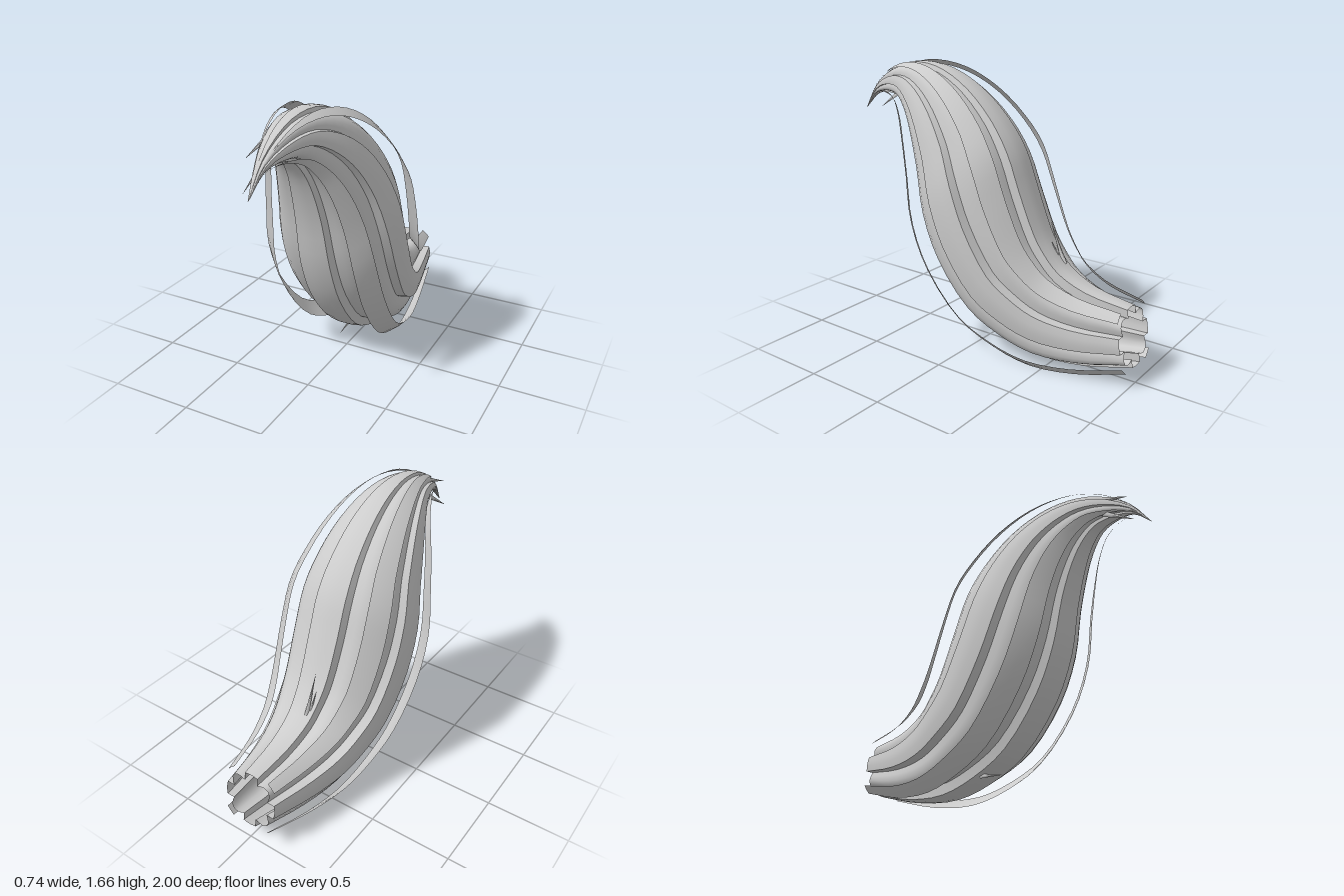
import * as THREE from 'three';
import { mergeVertices, toCreasedNormals } from 'three/addons/utils/BufferGeometryUtils.js';

// Matching [z, y] points along the upper and lower edge, from open root to tip
const UPPER = [[-0.95, 0.44], [-0.7, 0.48], [-0.53, 0.56], [-0.44, 0.66], [-0.38, 0.76], [-0.28, 1.0], [-0.2, 1.2],
  [-0.08, 1.37], [0.1, 1.53], [0.3, 1.63], [0.5, 1.66], [0.7, 1.62], [0.88, 1.5], [1, 1.335]];
const LOWER = [[-1, 0.1], [-0.7, 0.02], [-0.42, 0.0], [-0.18, 0.06], [0.05, 0.18], [0.28, 0.45], [0.4, 0.72],
  [0.46, 1.0], [0.52, 1.2], [0.58, 1.33], [0.66, 1.42], [0.76, 1.445], [0.89, 1.43], [1, 1.33]];
const curve = (pts) => new THREE.CatmullRomCurve3(pts.map(([z, y]) => new THREE.Vector3(0, y, z)));
const upper = curve(UPPER), lower = curve(LOWER);
const rad = THREE.MathUtils.degToRad;

const material = new THREE.MeshStandardMaterial({ color: 0xcccccc, side: THREE.DoubleSide });

// Point on the tail: t runs root to tip, angle turns from the top edge towards +x
function tailPoint(t, angle, scale) {
  const a = upper.getPoint(t), b = lower.getPoint(t);
  const centre = a.clone().add(b).multiplyScalar(0.5);
  const up = a.sub(b).multiplyScalar(0.5);
  const half = up.length();
  // Sides are as wide as the section is tall, slightly flattened where it is thickest
  const side = half / Math.pow(1 + Math.pow(half / 0.45, 6), 1 / 6);
  const p = centre.addScaledVector(up, Math.cos(angle) * scale);
  p.x = Math.sin(angle) * scale * side;
  return p;
}

// Surface swept through rows of points; pointAt(u, j) gives each corner
function sweep(rows, columns, pointAt, crease) {
  const positions = [], index = [];
  for (let i = 0; i <= rows; i++) {
    for (let j = 0; j < columns; j++) positions.push(...pointAt(i / rows, j).toArray());
  }
  for (let i = 0; i < rows; i++) {
    for (let j = 0; j < columns - 1; j++) {
      const a = i * columns + j, b = a + columns;
      index.push(a, b, a + 1, b, b + 1, a + 1);
    }
  }
  const g = new THREE.BufferGeometry();
  g.setAttribute('position', new THREE.Float32BufferAttribute(positions, 3));
  g.setIndex(index);
  return toCreasedNormals(mergeVertices(g, 1e-5), crease);
}

export function createModel() {
  const group = new THREE.Group();
  group.name = 'tail';
  const add = (name, geometry) => {
    const mesh = new THREE.Mesh(geometry, material);
    mesh.name = name;
    group.add(mesh);
    return mesh;
  };

  // Body: four raised locks at top, bottom and sides, with rounded lobes between, open at the root
  const profile = [];
  for (let k = 0; k < 4; k++) {
    for (const d of [-15, -5, 5, 15]) profile.push([rad(k * 90 + d), 0]);
    for (const [d, groove] of [[20, 1], [28, 0.6], [36, 0.2], [45, 0.05], [54, 0.2], [62, 0.6], [70, 1]]) {
      profile.push([rad(k * 90 + d), groove]);
    }
  }
  profile.push(profile[0]);
  add('tailBody', sweep(39, profile.length, (t, j) => {
    const [angle, groove] = profile[j];
    const depth = 0.27 - 0.17 * Math.sin(Math.PI * t);
    return tailPoint(t, angle, 1 - groove * depth);
  }, rad(50)));

  // Four loose ribbons of hair standing clear of the body from root to tip
  for (const centre of [43, 137, 223, 317]) {
    add('looseStrand', sweep(39, 3, (u, j) => {
      const taper = Math.min(1, (1 - u) * 5);
      const angle = rad(centre + (j - 1) * 8.5 * taper);
      return tailPoint(u * 0.99, angle, 1 + 0.22 * taper);
    }, rad(60)));
  }

  // Small stray tufts, each a thin spike from base to tip
  const spike = (base, tip, radius) => {
    const from = new THREE.Vector3(...base), dir = new THREE.Vector3(...tip).sub(from);
    const length = dir.length();
    const g = new THREE.ConeGeometry(radius, length, 5, 1, true);
    g.scale(0.6, 1, 1).translate(0, length / 2, 0);
    const mesh = add('strayTuft', g);
    mesh.position.copy(from);
    mesh.quaternion.setFromUnitVectors(new THREE.Vector3(0, 1, 0), dir.normalize());
  };
  spike([-0.04, 0.57, -0.5], [-0.04, 0.81, -0.4], 0.018);
  spike([-0.03, 0.58, -0.48], [-0.02, 0.7, -0.42], 0.014);
  spike([-0.05, 0.58, -0.48], [-0.06, 0.7, -0.43], 0.014);
  spike([-0.05, 0.08, -0.16], [-0.05, 0.06, 0], 0.014);
  spike([-0.06, 1.46, 0.74], [-0.075, 1.33, 0.94], 0.018);
  spike([-0.05, 1.57, 0.72], [-0.07, 1.5, 0.91], 0.018);
  spike([0.05, 1.58, 0.55], [0.05, 1.55, 0.83], 0.014);
  return group;
}
